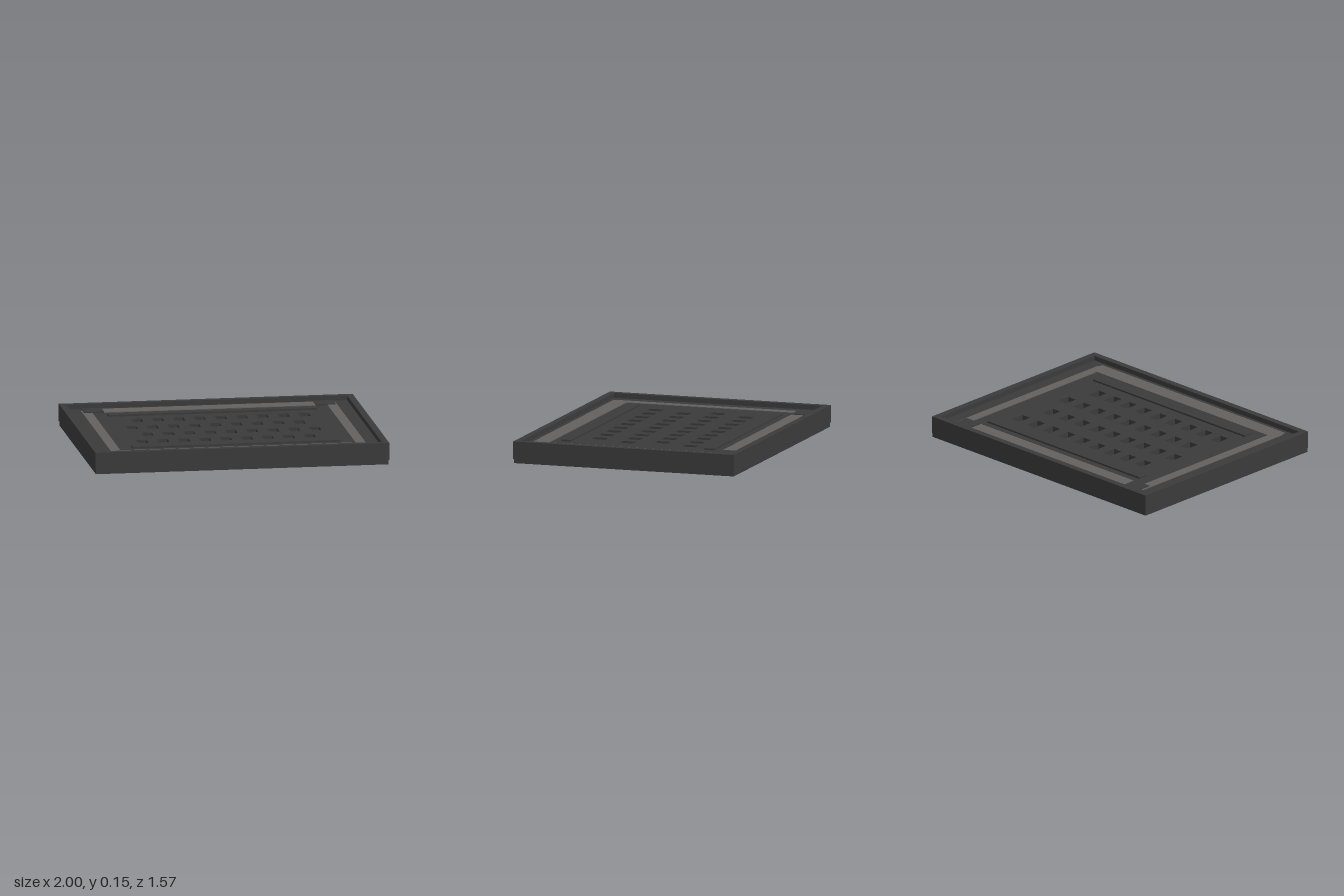
import * as THREE from 'three';

const dark = new THREE.MeshStandardMaterial({ color: 0x3b3b3b });
dark.name = 'dark plastic';
const grey = new THREE.MeshStandardMaterial({ color: 0x626160 });
grey.name = 'grey pad';

// Traces a rectangle, centred on (cx, cz), into a shape or hole path
function rect(path, cx, cz, hw, hd) {
  path.moveTo(cx - hw, cz - hd);
  path.lineTo(cx + hw, cz - hd);
  path.lineTo(cx + hw, cz + hd);
  path.lineTo(cx - hw, cz + hd);
  path.closePath();
  return path;
}

// Flat slab with rectangular holes, lying between heights y0 and y1
function slab(name, hw, hd, y0, y1, holes) {
  const shape = rect(new THREE.Shape(), 0, 0, hw, hd);
  for (const h of holes) shape.holes.push(rect(new THREE.Path(), ...h));
  const geo = new THREE.ExtrudeGeometry(shape, { depth: y1 - y0, bevelEnabled: false });
  geo.rotateX(-Math.PI / 2); // shape y becomes -z
  geo.translate(0, y0, 0);
  const mesh = new THREE.Mesh(geo, dark);
  mesh.name = name;
  return mesh;
}

// Box given by its x range, z range and height range
function block(name, x0, x1, z0, z1, y0, y1, material) {
  const mesh = new THREE.Mesh(new THREE.BoxGeometry(x1 - x0, y1 - y0, z1 - z0), material);
  mesh.position.set((x0 + x1) / 2, (y0 + y1) / 2, (z0 + z1) / 2);
  mesh.name = name;
  return mesh;
}

export function createModel() {
  const group = new THREE.Group();
  group.name = 'ventilatedTray';
  const floorY = 0.115;

  // Base slab with a wide opening below the grille
  group.add(slab('base', 0.996, 0.781, 0, 0.03, [[0, 0, 0.621, 0.46]]));

  // Raised outer rim
  group.add(slab('rim', 1, 0.785, 0.03, 0.148, [[0, 0, 0.955, 0.741]]));

  // Grille floor: four staggered rows of square vents
  const vents = [];
  [-0.335, -0.115, 0.108, 0.33].forEach((z, row) => {
    const start = row % 2 === 0 ? -0.538 : -0.609;
    for (let i = 0; i < 9; i++) vents.push([start + i * 0.1425, -z, 0.035, 0.05]);
  });
  group.add(slab('grilleFloor', 0.956, 0.742, 0.03, floorY, vents));

  // Grey pads around the floor
  const padTop = floorY + 0.004;
  for (const s of [-1, 1]) {
    const x = s * 0.8335;
    group.add(block(s > 0 ? 'leftPad' : 'rightPad', x - 0.0335, x + 0.0335, -0.68, 0.68, floorY, padTop, grey));
  }
  group.add(block('frontPad', -0.855, 0.855, 0.6, 0.71, floorY, padTop + 0.0005, grey));
  group.add(block('backPad', -0.72, 0.72, -0.715, -0.6, floorY, padTop + 0.0005, grey));

  for (const s of [-1, 1]) {
    // Dark blocks in the back corners
    const x = s * 0.7875;
    group.add(block('cornerBlock', x - 0.0675, x + 0.0675, -0.716, -0.6, floorY, floorY + 0.01, dark));
    // Long ribs in front of and behind the vents
    const z = s * 0.51;
    group.add(block(s > 0 ? 'frontRib' : 'backRib', -0.71, 0.71, z - 0.036, z + 0.036, floorY, floorY + 0.012, dark));
  }

  return group;
}
